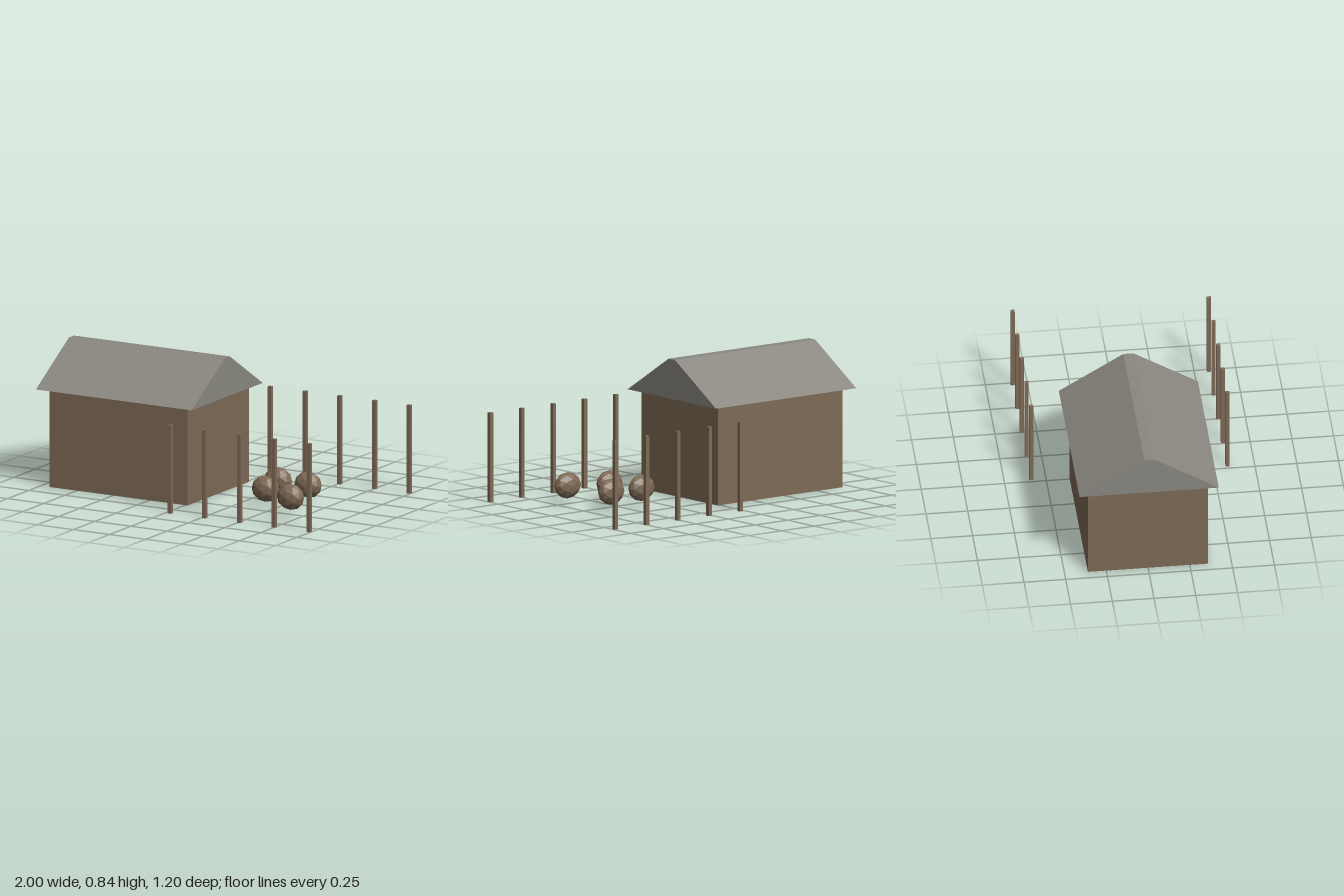
import * as THREE from 'three';

export function createModel() {
  const group = new THREE.Group();
  const wood = new THREE.MeshStandardMaterial({ color: 0x7e6a55 });
  wood.name = 'brown wood';
  const slate = new THREE.MeshStandardMaterial({ color: 0x8a8880 });
  slate.name = 'grey roof';
  const earth = new THREE.MeshStandardMaterial({ color: 0x7e6a55, flatShading: true });
  earth.name = 'brown bundle';

  function add(name, geometry, material, x, y, z) {
    const mesh = new THREE.Mesh(geometry, material);
    mesh.name = name;
    mesh.position.set(x, y, z);
    group.add(mesh);
    return mesh;
  }

  // House body
  add('houseWalls', new THREE.BoxGeometry(0.955, 0.6, 0.72), wood, -0.4625, 0.3, 0);

  // Roof: a trapezoid with a narrow flat ridge, run along x
  const eave = 0.417, ridge = 0.03;
  const section = new THREE.Shape([
    new THREE.Vector2(-eave, 0),
    new THREE.Vector2(eave, 0),
    new THREE.Vector2(ridge, 0.24),
    new THREE.Vector2(-ridge, 0.24),
  ]);
  const roofGeometry = new THREE.ExtrudeGeometry(section, { depth: 1.076, bevelEnabled: false });
  roofGeometry.rotateY(Math.PI / 2);
  add('roof', roofGeometry, slate, -1, 0.6, 0);

  // Two rows of yard posts
  const postGeometry = new THREE.BoxGeometry(0.024, 0.54, 0.024);
  for (const side of [1, -1]) {
    for (let i = 0; i < 5; i++) {
      add(side > 0 ? 'frontPost' : 'backPost', postGeometry, wood, 0.028 + i * 0.24, 0.27, side * 0.588);
    }
  }

  // Faceted oval bundles lying in the yard
  const bundleGeometry = new THREE.IcosahedronGeometry(1, 1);
  bundleGeometry.scale(0.09, 0.08, 0.058);
  for (const [x, z] of [[0.378, -0.085], [0.595, -0.067], [0.43, 0.152], [0.665, 0.258]]) {
    add('bundle', bundleGeometry, earth, x, 0.11, z);
  }

  return group;
}
